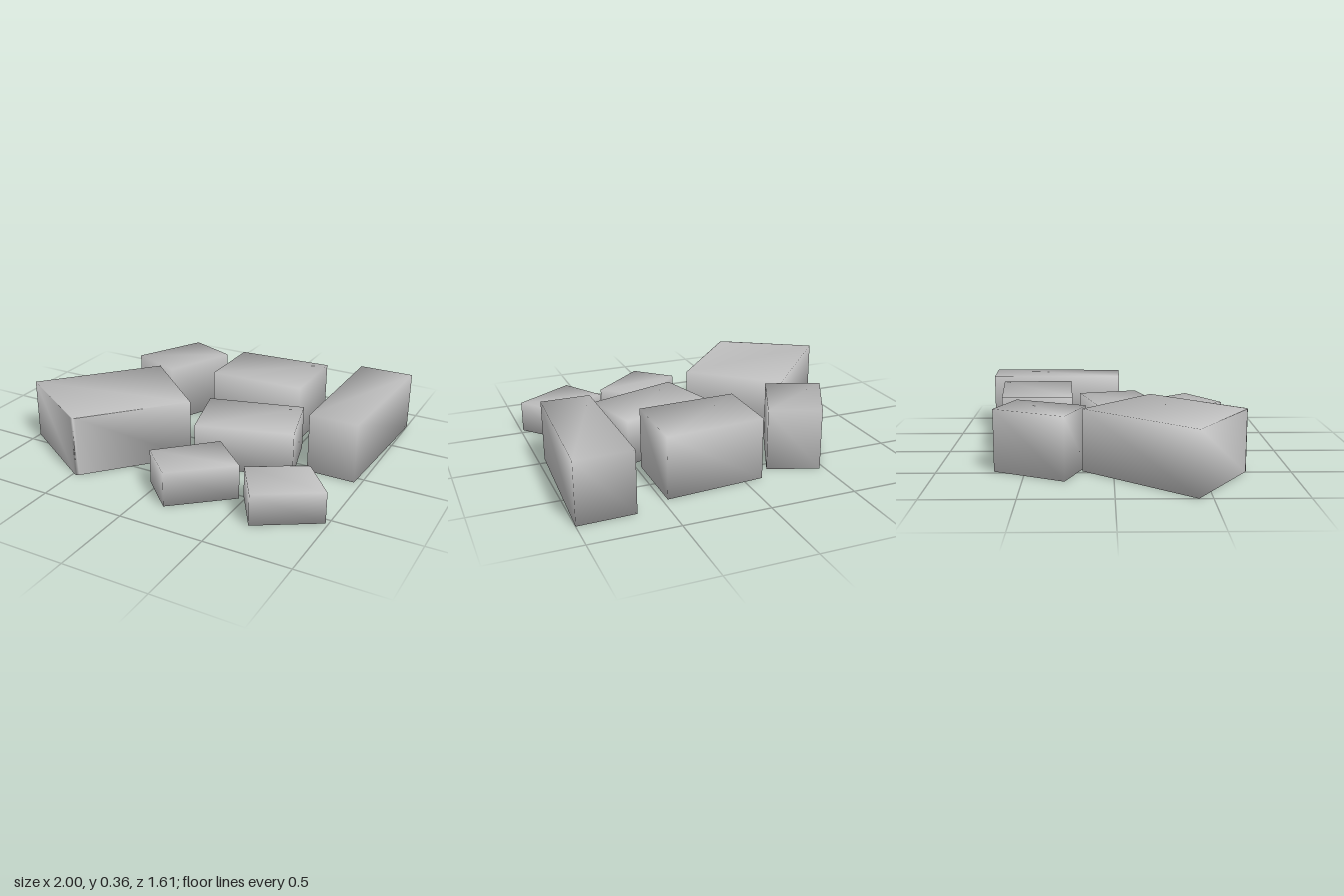
import * as THREE from 'three';
import { mergeVertices } from 'three/addons/utils/BufferGeometryUtils.js';

// Upright block from a plan outline of [x, z] corners, softly shaded across its edges
function block(name, height, corners, material) {
  const shape = new THREE.Shape(corners.map(([x, z]) => new THREE.Vector2(x, -z)));
  const raw = new THREE.ExtrudeGeometry(shape, { depth: height, bevelEnabled: false });
  raw.rotateX(-Math.PI / 2);
  raw.deleteAttribute('normal');
  raw.deleteAttribute('uv');
  const geometry = mergeVertices(raw, 1e-4);
  geometry.clearGroups();
  geometry.computeVertexNormals();
  const mesh = new THREE.Mesh(geometry, material);
  mesh.name = name;
  return mesh;
}

export function createModel() {
  const group = new THREE.Group();
  group.name = 'blockCluster';
  const grey = new THREE.MeshStandardMaterial({ color: 0xc0c0c0 });
  grey.name = 'light grey';

  // Plan outlines of the seven blocks, each with its height
  const blocks = [
    ['largeBlock', 0.36, [[-0.47, -0.175], [-0.01, 0.23], [-0.46, 0.74], [-0.475, 0.748], [-0.495, 0.742], [-1, 0.425]]],
    ['backRightBlock', 0.36, [[-0.47, -0.675], [-0.185, -0.565], [-0.37, -0.155], [-0.68, -0.27]]],
    ['backBlock', 0.36, [[-0.11, -0.66], [0.47, -0.705], [0.47, -0.265], [-0.11, -0.24]]],
    ['longBlock', 0.36, [[0.67, -0.795], [1, -0.805], [0.96, 0.055], [0.67, 0.055]]],
    ['middleBlock', 0.27, [[-0.035, -0.055], [0.525, -0.21], [0.625, 0.16], [0.075, 0.335]]],
    ['frontBlock', 0.205, [[0.24, 0.32], [0.47, 0.53], [0.15, 0.805], [-0.055, 0.61]]],
    ['frontLeftBlock', 0.185, [[0.775, 0.315], [0.795, 0.315], [0.985, 0.54], [0.64, 0.755], [0.48, 0.495]]],
  ];
  for (const [name, height, corners] of blocks) group.add(block(name, height, corners, grey));
  return group;
}
